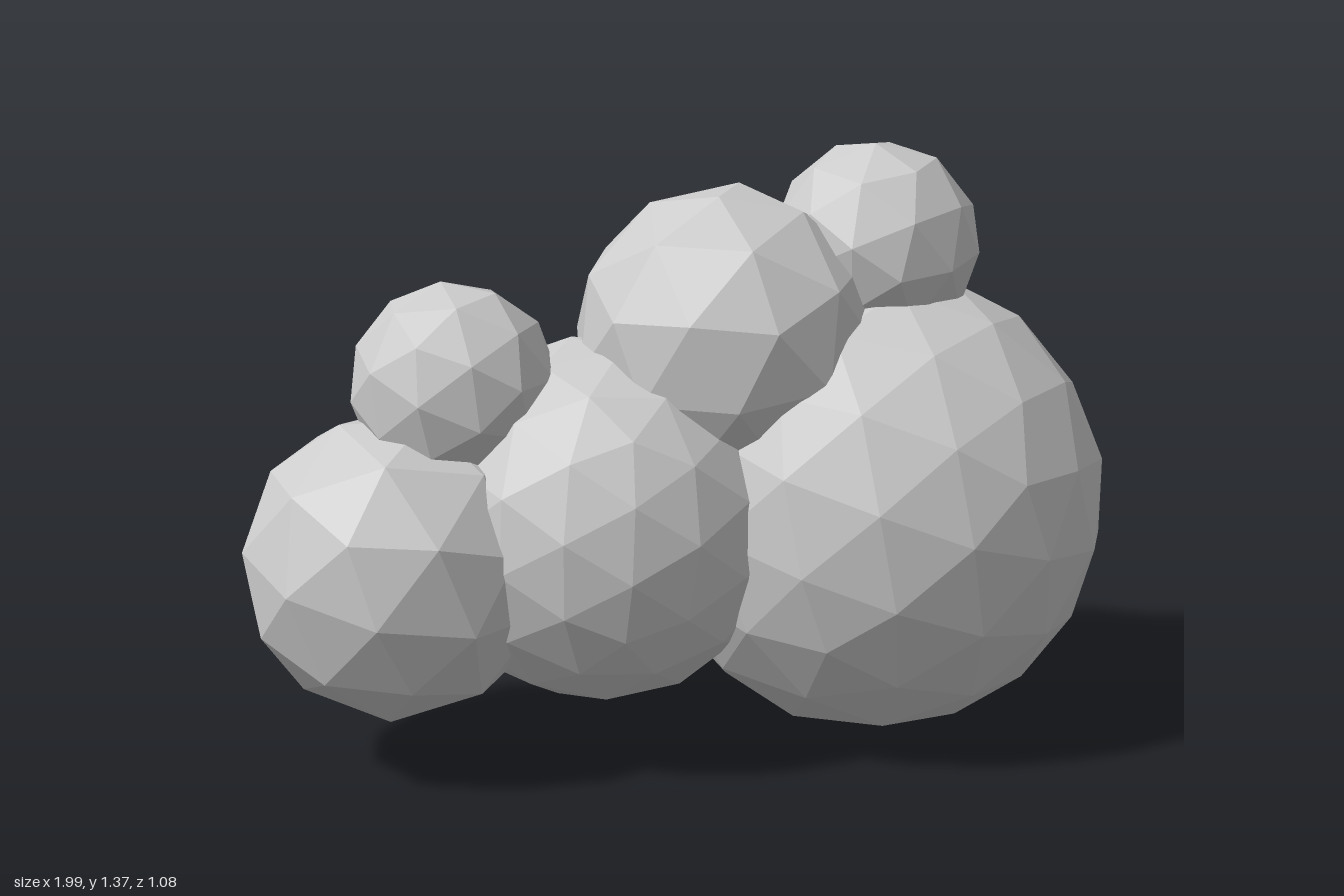
import * as THREE from 'three';

// Low-poly cloud: overlapping faceted puffs. [name, x, y, z, radius, detail, rotation]
const PUFFS = [
  ['largePuff', 0.46, 0.54, 0, 0.54, 2, [0.3, 0.5, 0.2]],
  ['middlePuff', -0.19, 0.545, 0, 0.415, 2, [0.9, 0.2, 0.6]],
  ['endPuff', -0.655, 0.475, -0.005, 0.35, 1, [0.4, 0.9, 0.3]],
  ['upperPuff', 0.105, 0.94, 0, 0.35, 1, [0.2, 0.4, 0.7]],
  ['topPuff', 0.46, 1.135, 0, 0.24, 1, [0.7, 0.1, 0.4]],
  ['smallPuff', -0.52, 0.87, -0.01, 0.232, 1, [0.5, 0.6, 0.1]],
];

export function createModel() {
  const cloud = new THREE.Group();
  cloud.name = 'cloud';
  const material = new THREE.MeshStandardMaterial({ color: 0xcccccc, flatShading: true });

  for (const [name, x, y, z, radius, detail, rotation] of PUFFS) {
    const puff = new THREE.Mesh(new THREE.IcosahedronGeometry(radius, detail), material);
    puff.name = name;
    puff.position.set(x, y, z);
    puff.rotation.set(...rotation);
    cloud.add(puff);
  }
  return cloud;
}
